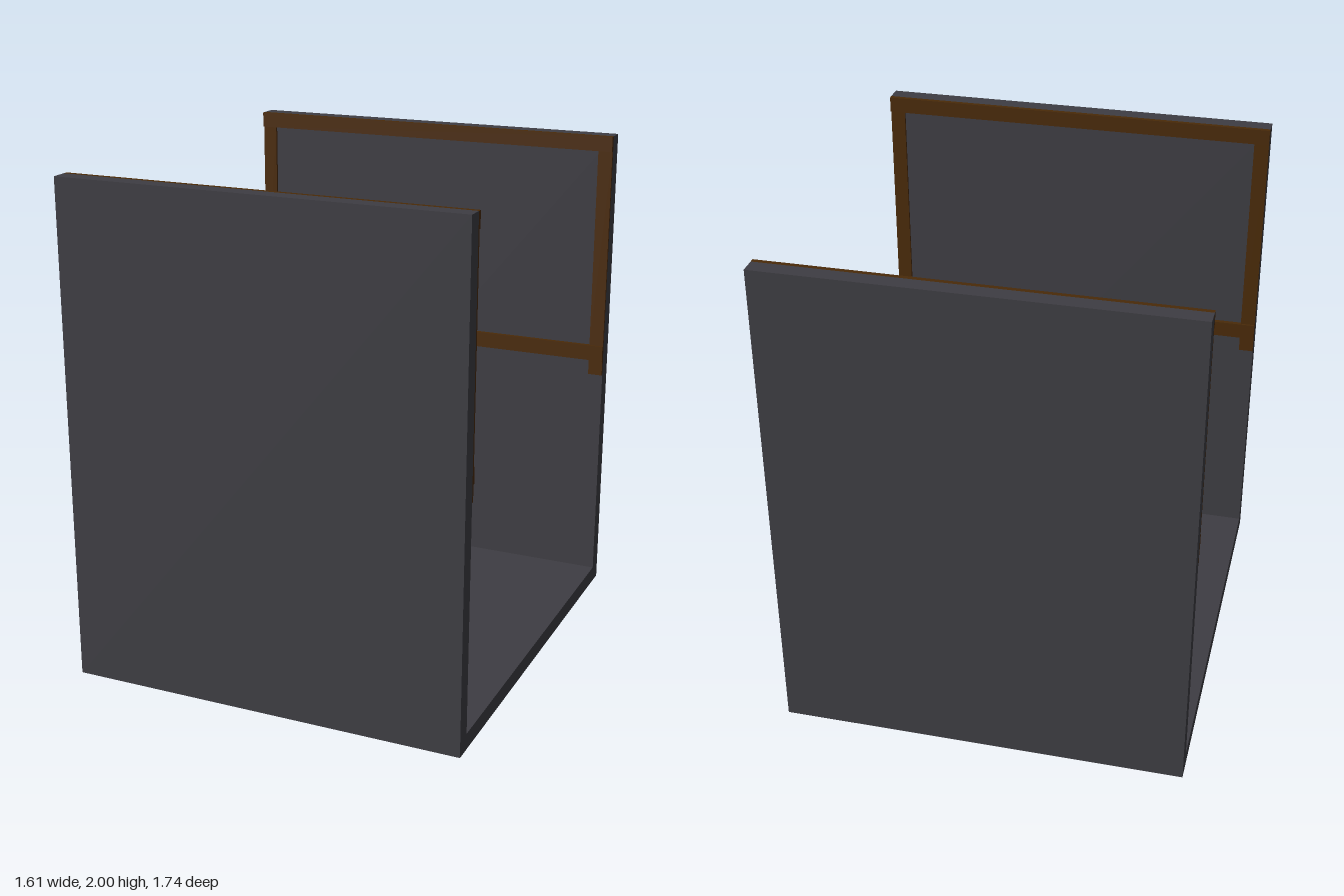
import * as THREE from 'three';

export function createModel() {
  const model = new THREE.Group();
  model.name = 'openTray';

  const charcoal = new THREE.MeshStandardMaterial({ color: 0x3e3d43 });
  charcoal.name = 'charcoal';
  const brown = new THREE.MeshStandardMaterial({ color: 0x4a2a08 });
  brown.name = 'dark brown';

  const halfW = 0.805, inner = 0.805, outer = 0.87, floorTop = 0.065;

  // Box from its lower and upper corners
  function block(parent, name, material, [x0, y0, z0], [x1, y1, z1]) {
    const mesh = new THREE.Mesh(new THREE.BoxGeometry(x1 - x0, y1 - y0, z1 - z0), material);
    mesh.position.set((x0 + x1) / 2, (y0 + y1) / 2, (z0 + z1) / 2);
    mesh.name = name;
    parent.add(mesh);
  }

  // Floor between the two walls
  block(model, 'floor', charcoal, [-halfW, 0, -inner], [halfW, floorTop, inner]);

  // A wall with a raised frame on the upper half of its inner face
  function wallWithFrame(name) {
    const wall = new THREE.Group();
    wall.name = name;
    block(wall, 'wallPanel', charcoal, [-halfW, 0, inner], [halfW, 2, outer]);
    const railFace = 0.787, postFace = 0.795, postW = 0.06;
    for (const [rail, y0, y1] of [['topRail', 1.937, 2], ['lowerRail', 1.035, 1.1]]) {
      block(wall, rail, brown, [-halfW, y0, railFace], [halfW, y1, inner]);
    }
    // Posts run between the rails, with short feet below the lower rail
    for (const x of [-halfW, halfW - postW]) {
      block(wall, 'post', brown, [x, 1.1, postFace], [x + postW, 1.937, inner]);
      block(wall, 'postFoot', brown, [x, 0.97, postFace], [x + postW, 1.035, inner]);
    }
    return wall;
  }

  const front = wallWithFrame('frontWall');
  const back = wallWithFrame('backWall');
  back.rotation.y = Math.PI;
  model.add(front, back);

  return model;
}
